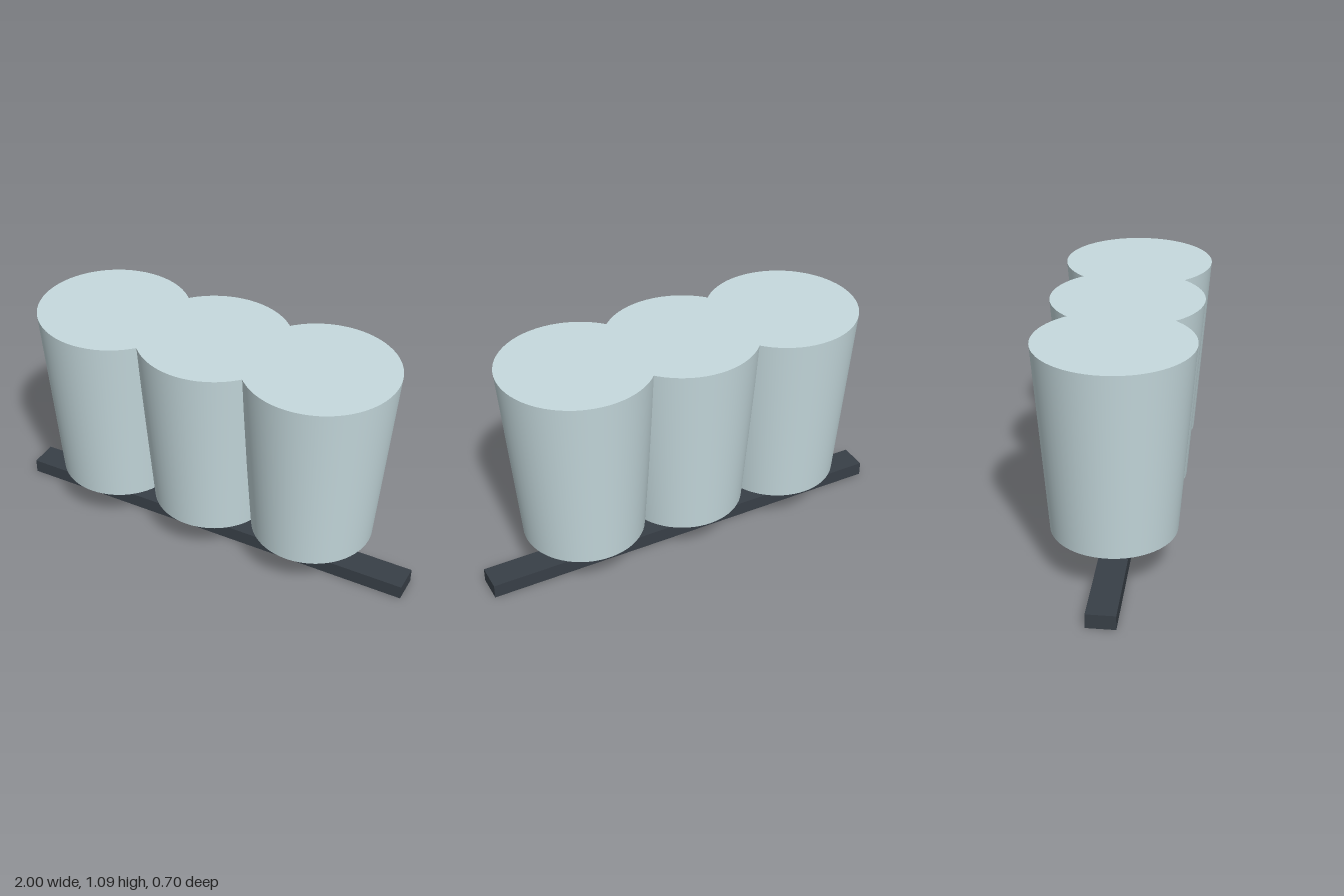
import * as THREE from 'three';

export function createModel() {
  const model = new THREE.Group();
  const paleGlass = new THREE.MeshStandardMaterial({ color: 0xc6dade });
  paleGlass.name = 'pale glass';
  const darkMetal = new THREE.MeshStandardMaterial({ color: 0x383f47 });
  darkMetal.name = 'dark metal';

  // three overlapping tapered shades in a row
  const bottom = 0.215, top = 1.087;
  const shadeGeometry = new THREE.CylinderGeometry(0.35, 0.283, top - bottom, 64);
  ['rightShade', 'middleShade', 'leftShade'].forEach((name, i) => {
    const shade = new THREE.Mesh(shadeGeometry, paleGlass);
    shade.name = name;
    shade.position.set((i - 1) * 0.515, (bottom + top) / 2, 0);
    model.add(shade);
  });

  // long bar lying beneath the shades
  const bar = new THREE.Mesh(new THREE.BoxGeometry(2, 0.068, 0.132), darkMetal);
  bar.name = 'bar';
  bar.position.y = 0.034;
  model.add(bar);

  return model;
}
